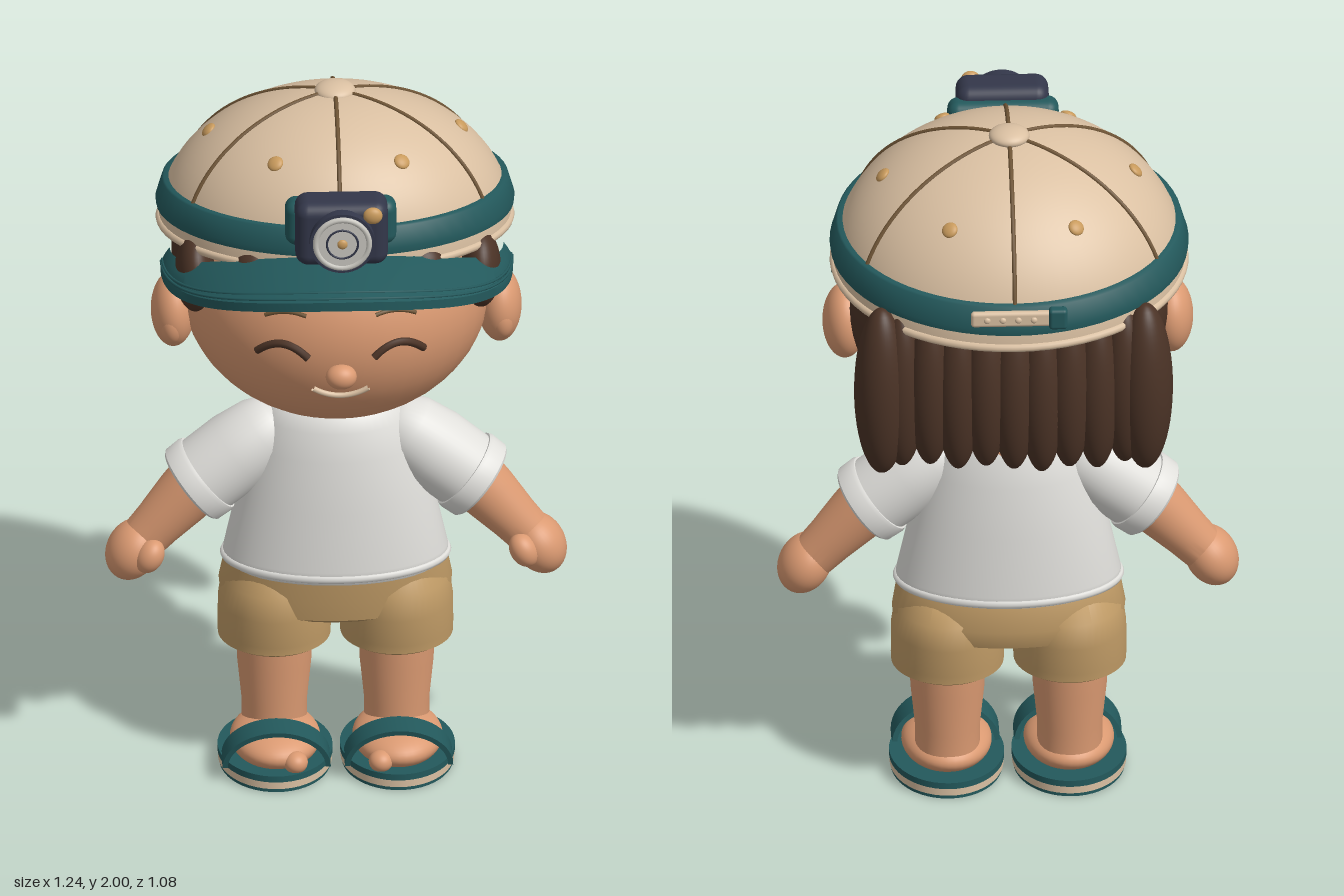
import * as THREE from 'three';
import { toCreasedNormals } from 'three/addons/utils/BufferGeometryUtils.js';
import { RoundedBoxGeometry } from 'three/addons/geometries/RoundedBoxGeometry.js';

const paint = (name, color, side = THREE.FrontSide) => {
  const m = new THREE.MeshStandardMaterial({ color, side });
  m.name = name;
  return m;
};
const V = (x, y, z) => new THREE.Vector3(x, y, z);
const ball = new THREE.SphereGeometry(1, 40, 28);

function add(parent, name, geo, mat, pos = [0, 0, 0], scale = [1, 1, 1], rot = [0, 0, 0]) {
  const mesh = new THREE.Mesh(geo, mat);
  mesh.name = name;
  mesh.position.set(...pos);
  mesh.scale.set(...scale);
  mesh.rotation.set(...rot);
  parent.add(mesh);
  return mesh;
}

// Skin a series of equal closed rings, with fan caps at both ends
function loft(rings) {
  const n = rings[0].length, last = rings.length - 1, pts = rings.flat(), idx = [];
  for (let i = 0; i < last; i++) for (let j = 0; j < n; j++) {
    const k = (j + 1) % n, a = i * n + j, b = i * n + k;
    idx.push(a, b, b + n, a, b + n, a + n);
  }
  [0, last].forEach((r, top) => {
    const c = V(0, 0, 0);
    rings[r].forEach(p => c.add(p));
    pts.push(c.divideScalar(n));
    for (let j = 0; j < n; j++) {
      const a = r * n + j, b = r * n + (j + 1) % n;
      idx.push(pts.length - 1, top ? a : b, top ? b : a);
    }
  });
  const g = new THREE.BufferGeometry().setFromPoints(pts);
  g.setIndex(idx);
  return toCreasedNormals(g, 0.8);
}

// Elliptical cross-sections given as [y, rx, rz, cx, cz]
const body = rows => loft(rows.map(([y, rx, rz, cx = 0, cz = -0.045]) =>
  Array.from({ length: 48 }, (_, j) => {
    const a = j / 48 * Math.PI * 2;
    return V(cx + rx * Math.sin(a), y, cz + rz * Math.cos(a));
  })));

const lathe = (pts, seg = 40) => toCreasedNormals(
  new THREE.LatheGeometry(pts.map(p => new THREE.Vector2(...p)), seg), 0.7);
const tube = (pts, r, seg = 24) => new THREE.TubeGeometry(new THREE.CatmullRomCurve3(pts), seg, r, 8);

// Turned limb whose axis runs from one point to another
function limb(parent, name, from, to, profile, mat) {
  const m = add(parent, name, lathe(profile), mat, from);
  m.quaternion.setFromUnitVectors(V(0, 1, 0), V(...to).sub(V(...from)).normalize());
  return m;
}

// Head ellipsoid, and a point on its front
const HEAD = { c: [0, 1.425, -0.02], r: [0.415, 0.355, 0.395] };
const onFace = (x, y, lift = 0) => V(x, y, HEAD.c[2] + lift + HEAD.r[2] *
  Math.sqrt(1 - (x / HEAD.r[0]) ** 2 - ((y - HEAD.c[1]) / HEAD.r[1]) ** 2));
const faceArc = (cx, cy, half, rise, slope = 0) => Array.from({ length: 9 }, (_, i) => {
  const u = i / 4 - 1;
  return onFace(cx + u * half, cy + rise * (1 - u * u) + slope * u, 0.003);
});

// Cap space: round dome, then narrowed in z and sheared up at the front
const CAP_R = 0.475, CAP_H = 0.375, K = 0.425 / 0.475;
const capMatrix = new THREE.Matrix4().set(1, 0, 0, 0, 0, 1, 0.11 * K, 1.6, 0, 0, K, -0.09, 0, 0, 0, 1);
const capPoint = (a, e, s = 1) => V(s * CAP_R * Math.cos(e) * Math.cos(a), s * CAP_H * Math.sin(e),
  s * CAP_R * Math.cos(e) * Math.sin(a));

export function createModel() {
  const model = new THREE.Group();
  model.name = 'capChild';
  const skin = paint('skin', 0xdb9a72), teal = paint('teal', 0x23595c, THREE.DoubleSide);
  const canvas = paint('capCanvas', 0xdac0a2, THREE.DoubleSide), white = paint('shirtWhite', 0xe0dfdb);
  const khaki = paint('shortsKhaki', 0xc09b66), hair = paint('hairBrown', 0x4b3326, THREE.DoubleSide);
  const seam = paint('seamBrown', 0x6e5435), navy = paint('lampNavy', 0x33374a);
  const brass = paint('brass', 0xc89a5c), lens = paint('lensGrey', 0xc8c6bf);
  const group = name => {
    const g = new THREE.Group();
    g.name = name;
    model.add(g);
    return g;
  };

  // Head and face
  const head = group('head');
  add(head, 'skull', ball, skin, HEAD.c, HEAD.r);
  add(head, 'nose', ball, skin, [0, 1.345, 0.375], [0.042, 0.035, 0.035]);
  add(head, 'mouth', tube(faceArc(0, 1.295, 0.075, -0.024), 0.008), canvas);
  add(head, 'neck', new THREE.CylinderGeometry(0.1, 0.11, 0.14, 32), skin, [0, 1.08, -0.08]);
  for (const s of [1, -1]) {
    add(head, 'ear', ball, skin, [s * 0.44, 1.37, 0], [0.06, 0.105, 0.09]);
    add(head, 'earLobe', ball, skin, [s * 0.445, 1.35, 0.045], [0.035, 0.06, 0.045]);
    add(head, 'closedEye', tube(faceArc(s * 0.157, 1.398, 0.068, 0.036), 0.011), hair);
    add(head, 'eyebrow', tube(faceArc(s * 0.148, 1.512, 0.055, 0.012, -0.006 * s), 0.006), seam);
  }

  // Hair: back shell, fringe, sideburns and overlapping locks
  const hairGroup = group('hair');
  add(hairGroup, 'backHair', new THREE.SphereGeometry(1, 40, 32, Math.PI, Math.PI), hair,
    [0, 1.43, -0.04], [0.43, 0.368, 0.42], [0.28, 0, 0]);
  for (const x of [-0.22, -0.075, 0.075, 0.22])
    add(hairGroup, 'fringeLock', ball, hair, [x, 1.615, onFace(x, 1.6).z - 0.01], [0.066, 0.065, 0.06]);
  for (let i = -4; i <= 4; i++) {
    const x = i * 0.075;
    add(hairGroup, 'backLock', ball, hair, [x, 1.37 + 0.01 * (i % 2), -0.42 + 0.35 * x * x], [0.062, 0.235, 0.072]);
  }
  for (const s of [1, -1]) {
    add(hairGroup, 'sideburn', ball, hair, [s * 0.385, 1.54, 0.12], [0.055, 0.11, 0.095]);
    add(hairGroup, 'sideLock', ball, hair, [s * 0.355, 1.365, -0.39], [0.075, 0.25, 0.085]);
  }

  // Cap dome, rim, band, seams, eyelets and top button
  const cap = group('cap');
  const onCap = (name, geo, mat) => add(cap, name, geo.applyMatrix4(capMatrix), mat);
  const dome = Array.from({ length: 25 }, (_, i) => {
    const e = i / 24 * Math.PI / 2;
    return [CAP_R * Math.cos(e), CAP_H * Math.sin(e)];
  });
  onCap('dome', lathe(dome, 64), canvas);
  onCap('rim', new THREE.TorusGeometry(CAP_R - 0.003, 0.012, 10, 64).rotateX(Math.PI / 2), canvas);
  onCap('band', lathe([[0.46, 0.042], [0.482, 0.042], [0.484, 0.06], [0.467, 0.118], [0.462, 0.122], [0.44, 0.122]], 64), teal);
  for (let i = 0; i < 6; i++) {
    const a = Math.PI / 6 + i * Math.PI / 3;
    const line = Array.from({ length: 13 }, (_, k) => capPoint(a, 0.2 + k / 12 * 1.33, 1.001));
    onCap('seam', tube(line, 0.006, 32), seam);
    const p = capPoint(i * Math.PI / 3, 0.77).applyMatrix4(capMatrix);
    const eyelet = add(cap, 'eyelet', ball, brass, p.toArray(), [0.022, 0.022, 0.011]);
    eyelet.lookAt(p.clone().multiplyScalar(2).sub(V(0, 1.5, -0.09)));
  }
  add(cap, 'topButton', ball, canvas, [0, 1.975, -0.09], [0.055, 0.025, 0.055]);

  // Brim, drooping toward the sides, with stitch lines
  const brimPoint = (t, s, dy = 0) => V((0.45 + 0.025 * s) * Math.cos(t),
    1.69 - 0.04 * s - 0.125 * Math.cos(t) ** 2 + dy, 0.02 + 0.01 * s + (0.3 + 0.205 * s) * Math.sin(t));
  const sweep = Array.from({ length: 49 }, (_, i) => i / 48 * Math.PI);
  add(cap, 'brim', loft(sweep.map(t => [[0, -0.026], [0.5, -0.026], [1, -0.026], [1, 0], [0.5, 0.004], [0, 0]]
    .map(([s, dy]) => brimPoint(t, s, dy)))), teal);
  for (const s of [0.8, 0.93])
    add(cap, 'brimStitch', tube(sweep.map(t => brimPoint(t, s, 0.001)), 0.004, 64), teal);

  // Adjuster at the back
  add(cap, 'adjusterStrap', new RoundedBoxGeometry(0.22, 0.045, 0.022, 3, 0.01), canvas, [0.01, 1.645, -0.516]);
  add(cap, 'adjusterClip', new RoundedBoxGeometry(0.05, 0.06, 0.034, 3, 0.01), teal, [-0.115, 1.65, -0.525]);
  for (let i = 0; i < 4; i++)
    add(cap, 'adjusterStud', ball, canvas, [-0.05 + i * 0.042, 1.645, -0.527], [0.009, 0.009, 0.006]);

  // Headlamp
  const lamp = group('headlamp');
  const disc = (r, d) => new THREE.CylinderGeometry(r, r, d, 40).rotateX(Math.PI / 2);
  add(lamp, 'lampMount', new RoundedBoxGeometry(0.3, 0.13, 0.08, 4, 0.03), teal, [0, 1.795, 0.325]);
  add(lamp, 'lampHousing', new RoundedBoxGeometry(0.25, 0.185, 0.12, 4, 0.035), navy, [0, 1.797, 0.378]);
  add(lamp, 'lampBezel', disc(0.088, 0.03), navy, [0, 1.79, 0.445]);
  add(lamp, 'lampLens', disc(0.07, 0.012), lens, [0, 1.79, 0.458]);
  add(lamp, 'lensRing', new THREE.TorusGeometry(0.072, 0.008, 10, 40), lens, [0, 1.79, 0.461]);
  add(lamp, 'lensGroove', new THREE.TorusGeometry(0.042, 0.003, 8, 32), navy, [0, 1.79, 0.464]);
  add(lamp, 'lampBulb', ball, brass, [0, 1.79, 0.464], [0.014, 0.014, 0.008]);
  add(lamp, 'lampSwitch', ball, brass, [0.083, 1.862, 0.438], [0.026, 0.024, 0.016]);

  // Shirt
  const shirt = group('shirt');
  add(shirt, 'shirtBody', body([[0.59, 0.295, 0.178], [0.605, 0.305, 0.186], [0.63, 0.303, 0.185], [0.8, 0.265, 0.176],
    [0.95, 0.23, 0.162], [1.03, 0.2, 0.146], [1.07, 0.172, 0.13], [1.09, 0.13, 0.105]]), white);
  add(shirt, 'shirtHem', new THREE.TorusGeometry(0.3, 0.012, 8, 64).rotateX(Math.PI / 2), white,
    [0, 0.61, -0.045], [1, 1, 0.61]);

  // Shorts
  const shorts = group('shorts');
  add(shorts, 'shortsHips', body([[0.455, 0.24, 0.13], [0.475, 0.31, 0.172, 0, -0.055], [0.53, 0.315, 0.186, 0, -0.06],
    [0.61, 0.3, 0.176]]), khaki);

  for (const s of [1, -1]) {
    // Sleeve, arm and hand
    const arm = group(s > 0 ? 'leftArm' : 'rightArm');
    const a = [s * 0.2, 0.97, -0.04], b = [s * 0.39, 0.82, -0.03];
    limb(arm, 'sleeve', a, b, [[0, -0.1], [0.045, -0.09], [0.08, -0.06], [0.1, -0.01], [0.111, 0.08], [0.109, 0.235], [0, 0.235]], white);
    limb(arm, 'sleeveCuff', a, b, [[0.1, 0.185], [0.115, 0.185], [0.119, 0.195], [0.117, 0.238], [0.11, 0.245], [0, 0.24]], white);
    limb(arm, 'forearm', [s * 0.36, 0.845, -0.03], [s * 0.53, 0.655, -0.02],
      [[0, 0], [0.085, 0], [0.08, 0.08], [0.068, 0.18], [0.062, 0.26], [0, 0.27]], skin);
    add(arm, 'hand', ball, skin, [s * 0.548, 0.637, -0.015], [0.07, 0.088, 0.083], [0, 0, s * 0.5]);
    add(arm, 'thumb', ball, skin, [s * 0.505, 0.645, 0.045], [0.038, 0.05, 0.042], [0, 0, s * 0.5]);

    // Shorts leg
    const x = s * 0.165;
    add(shorts, 'shortsLeg', body([[0.355, 0.14, 0.148, x, -0.06], [0.362, 0.152, 0.158, x, -0.06], [0.385, 0.153, 0.16, x, -0.06],
      [0.47, 0.152, 0.178, x, -0.058], [0.54, 0.142, 0.172, x, -0.06], [0.59, 0.11, 0.13, x, -0.05]]), khaki);

    // Leg and foot
    const leg = group(s > 0 ? 'leftLeg' : 'rightLeg');
    add(leg, 'shin', body([[0.06, 0.088, 0.088, x, -0.055], [0.16, 0.088, 0.09, x, -0.055],
      [0.28, 0.1, 0.104, x, -0.057], [0.42, 0.104, 0.108, x, -0.057]]), skin);
    add(leg, 'foot', ball, skin, [x, 0.078, 0.01], [0.122, 0.06, 0.165]);
    add(leg, 'bigToe', ball, skin, [s * 0.115, 0.07, 0.155], [0.033, 0.03, 0.035]);

    // Sandal: layered sole and arched strap
    const sole = (name, y, h, r, mat) => add(leg, name, new THREE.CylinderGeometry(r, r, h, 48), mat, [x, y, 0], [0.155, 1, 0.2]);
    sole('outsole', 0.006, 0.012, 0.97, teal);
    sole('midsole', 0.022, 0.022, 0.99, canvas);
    sole('footbed', 0.041, 0.018, 1, teal);
    const strap = Array.from({ length: 25 }, (_, i) => {
      const t = i / 24 * Math.PI;
      return [[0.132, 0.1, 0.05], [0.132, 0.1, 0.14], [0.146, 0.114, 0.14], [0.146, 0.114, 0.05]].map(([rx, ry, z]) => {
        const y = 0.042 + ry * Math.sin(t);
        return V(x + rx * Math.cos(t), y, z + (y - 0.1) * 0.2);
      });
    });
    add(leg, 'sandalStrap', loft(strap), teal);
  }
  return model;
}
